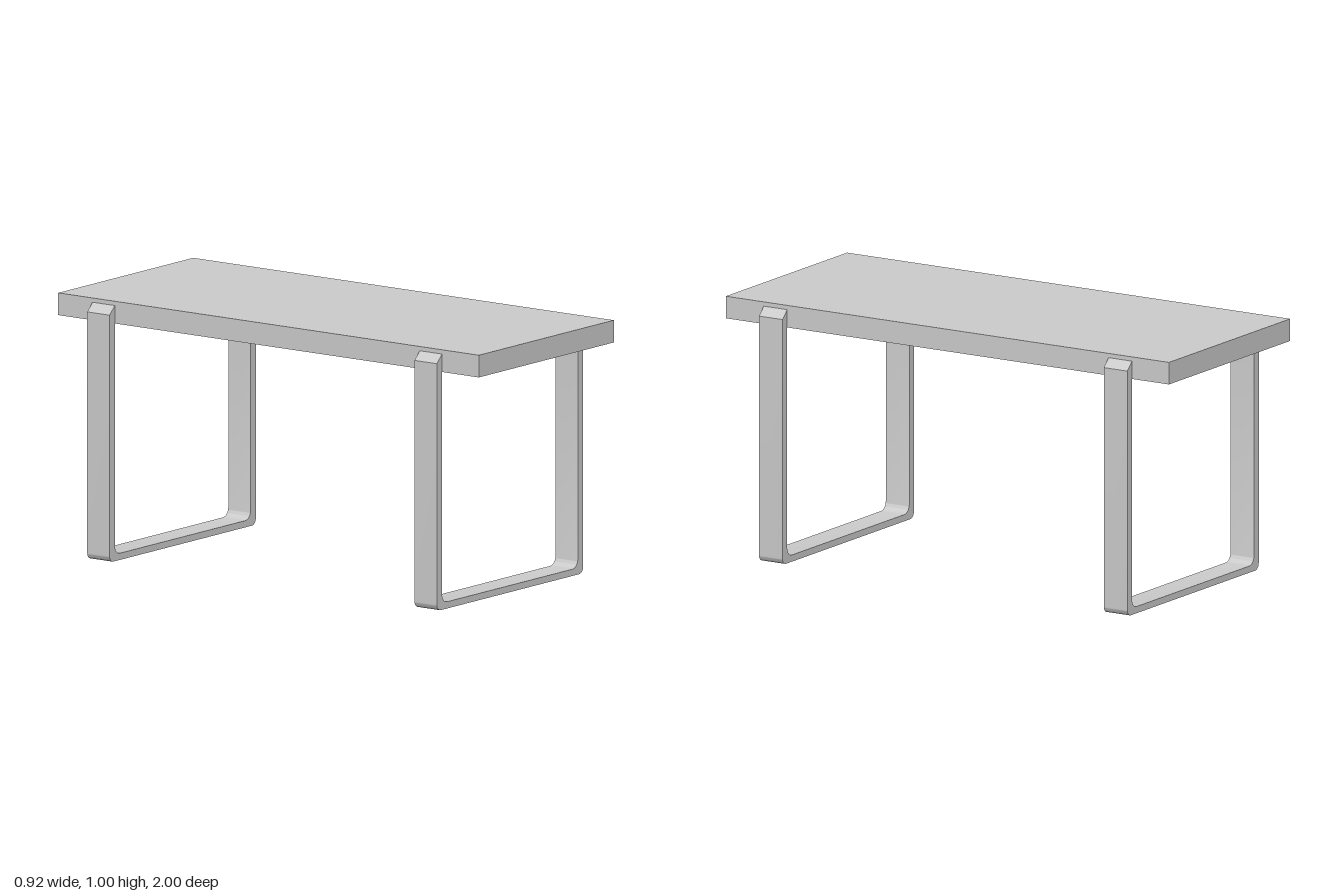
import * as THREE from 'three';
import { toCreasedNormals } from 'three/addons/utils/BufferGeometryUtils.js';

const material = new THREE.MeshStandardMaterial({ color: 0xcccccc });

// U-shaped flat-bar profile with rounded lower corners and chamfered tips
function frameShape() {
  const outer = 0.46, inner = 0.427, bar = 0.026, rOut = 0.025, rIn = 0.034;
  const tip = 0.989, shoulder = 0.957;
  const s = new THREE.Shape();
  s.moveTo(-outer, shoulder);
  s.lineTo(-outer, rOut);
  s.absarc(-outer + rOut, rOut, rOut, Math.PI, Math.PI * 1.5, false);
  s.absarc(outer - rOut, rOut, rOut, Math.PI * 1.5, Math.PI * 2, false);
  s.lineTo(outer, shoulder);
  s.lineTo(inner, tip);
  s.lineTo(inner, bar + rIn);
  s.absarc(inner - rIn, bar + rIn, rIn, 0, -Math.PI / 2, true);
  s.absarc(-inner + rIn, bar + rIn, rIn, -Math.PI / 2, -Math.PI, true);
  s.lineTo(-inner, tip);
  s.closePath();
  return s;
}

export function createModel() {
  const model = new THREE.Group();
  model.name = 'table';

  // Slab top
  const top = new THREE.Mesh(new THREE.BoxGeometry(0.849, 0.086, 2), material);
  top.name = 'tabletop';
  top.position.y = 0.962;
  model.add(top);

  // Two leg frames, holding the slab from its sides
  const depth = 0.106;
  const geometry = toCreasedNormals(
    new THREE.ExtrudeGeometry(frameShape(), { depth, bevelEnabled: false, curveSegments: 10 }), 0.5);
  geometry.translate(0, 0, -depth / 2);
  for (const [name, z] of [['frontLegFrame', 0.774], ['backLegFrame', -0.782]]) {
    const frame = new THREE.Mesh(geometry, material);
    frame.name = name;
    frame.position.z = z;
    model.add(frame);
  }
  return model;
}
